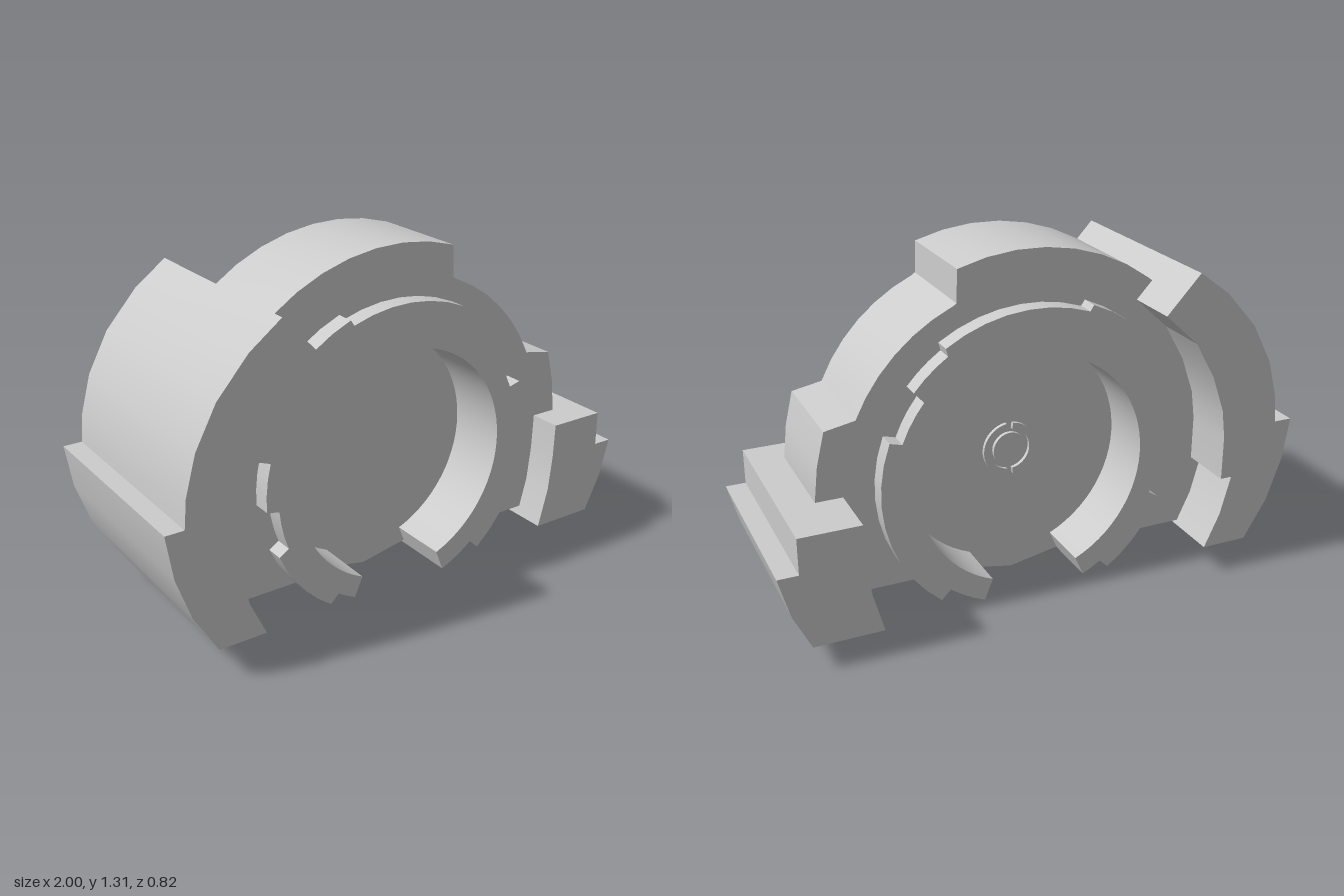
import * as THREE from 'three';
import { toCreasedNormals } from 'three/addons/utils/BufferGeometryUtils.js';

const CX = 0.01, CY = 0.515; // shared axis of the rings

// Points on an arc about the axis, angles in degrees
function arc(r, a0, a1, step = 8) {
  const n = Math.max(1, Math.ceil(Math.abs(a1 - a0) / step));
  return Array.from({ length: n + 1 }, (_, i) => {
    const a = THREE.MathUtils.degToRad(a0 + (a1 - a0) * i / n);
    return [CX + r * Math.cos(a), CY + r * Math.sin(a)];
  });
}

export function createModel() {
  const model = new THREE.Group();
  model.name = 'housing';
  const material = new THREE.MeshStandardMaterial({ color: 0xcccccc });

  // Extrude an outline between two z planes
  function plate(name, points, z0, z1) {
    const shape = new THREE.Shape(points.map(p => new THREE.Vector2(p[0], p[1])));
    const geo = new THREE.ExtrudeGeometry(shape, { depth: z1 - z0, bevelEnabled: false });
    geo.translate(0, 0, z0);
    const mesh = new THREE.Mesh(toCreasedNormals(geo, 0.3), material);
    mesh.name = name;
    model.add(mesh);
  }

  // Main body: stepped outer rim, flat feet, open at the bottom
  plate('body', [
    ...arc(0.47, -54, 234),
    [-0.69, 0.135],
    ...arc(0.805, 207, 71.5),
    [0.27, 1.16],
    ...arc(0.692, 67, 24),
    [0.755, 0.775], [0.785, 0.65], [0.8, 0.52], [0.78, 0.32], [0.7, 0.135],
  ], -0.19, 0.21);

  // Notched ring: [radius, start angle, end angle], open at the bottom
  const steps = [
    [0.522, 246, 237], [0.568, 236, 202], [0.524, 201, 184], [0.572, 182.5, 164.5],
    [0.636, 164, 111], [0.611, 110.5, 57.5], [0.583, 56.6, 40], [0.53, 39.2, 21.5],
    [0.577, 21, -51], [0.527, -51.5, -68.5],
  ];
  plate('notchedRing', [
    ...steps.flatMap(s => arc(...s)),
    ...arc(0.44, -68.4, 246, 5),
  ], -0.26, 0.28);

  // Thin web closing the ring, with a shallow point at the bottom
  plate('web', [
    ...arc(0.48, -60, 240),
    [-0.2, 0.043], [0, 0.005], [0.2, 0.043],
  ], -0.04, 0.04);

  // Left and right outer blocks
  plate('rightShell', [
    [-0.56, 1.22], [-0.68, 1.13], [-0.8, 0.995], [-0.88, 0.845], [-0.92, 0.7], [-0.93, 0.595],
    [-1, 0.595], [-0.975, 0.43], [-0.92, 0.27], [-0.83, 0.12], [-0.65, 0.12],
    [-0.71, 0.25], [-0.75, 0.4], [-0.705, 0.4],
    [-0.705, 0.57], [-0.69, 0.68], [-0.64, 0.82], [-0.56, 0.96], [-0.43, 1.08],
  ], -0.4, 0.41);
  plate('leftBlock', [
    [0.7, 0.52], [0.925, 0.52], [0.925, 0.385], [1, 0.385], [0.96, 0.235],
    [0.895, 0.1], [0.64, 0.1], [0.68, 0.25], [0.695, 0.385],
  ], -0.41, 0.335);

  // Small split collar and hub on the back of the web
  for (const a of [-83, 97]) {
    plate('collarHalf', [...arc(0.105, a, a + 166), ...arc(0.08, a + 166, a)], -0.055, -0.03);
  }
  plate('hub', arc(0.066, 0, 345, 15), -0.055, -0.03);

  return model;
}
